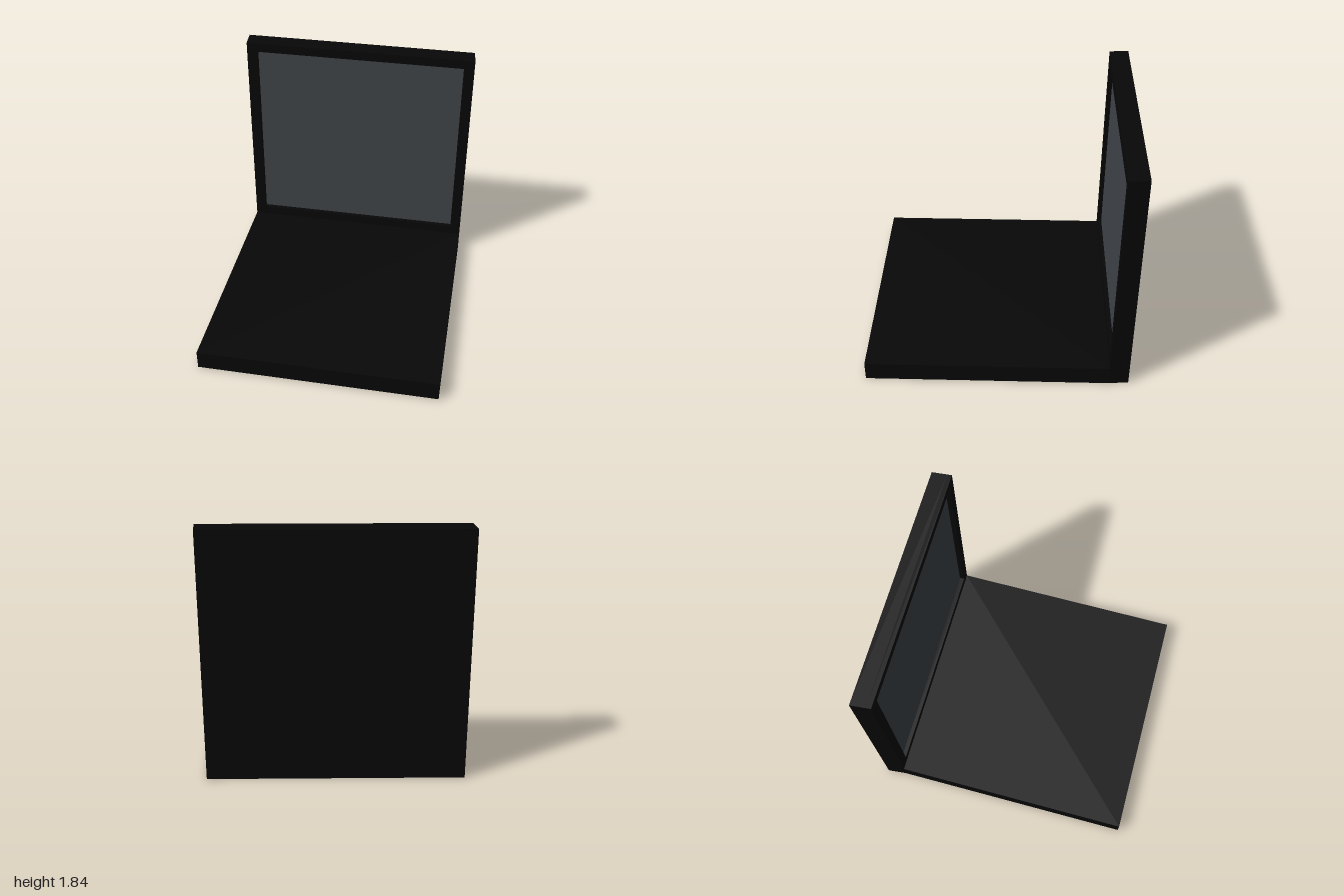
import * as THREE from 'three';

// Outline of a rectangle, usable as a shape or a hole
function rectangle(x0, x1, y0, y1) {
  return [[x0, y0], [x1, y0], [x1, y1], [x0, y1]].map(([x, y]) => new THREE.Vector2(x, y));
}

// Places lid parts: x slants towards the back, z is skewed across the width
const lidSkew = new THREE.Matrix4().set(
  1, 0, 0.1, 0,
  0, 1, 0, 0,
  -0.0065, 0, 1, -0.845,
  0, 0, 0, 1,
);

// Slab of the lid between depths z0 and z1 (0 is the lid's front)
function lidPart(name, shape, z0, z1, material) {
  const geometry = new THREE.ExtrudeGeometry(shape, { depth: z1 - z0, bevelEnabled: false });
  geometry.translate(0, 0, z0);
  geometry.applyMatrix4(lidSkew);
  const mesh = new THREE.Mesh(geometry, material);
  mesh.name = name;
  return mesh;
}

export function createModel() {
  const black = new THREE.MeshStandardMaterial({ color: 0x070707 });
  black.name = 'black casing';
  const grey = new THREE.MeshStandardMaterial({ color: 0x40454a });
  grey.name = 'grey screen';

  const group = new THREE.Group();
  group.name = 'laptop';

  // Flat base with a slightly skewed footprint of [x, z] corners
  const footprint = [[-0.905, 1], [0.935, 0.985], [0.92, -0.851], [-0.92, -0.839]];
  const baseShape = new THREE.Shape(footprint.map(([x, z]) => new THREE.Vector2(x, -z)));
  const baseGeometry = new THREE.ExtrudeGeometry(baseShape, { depth: 0.15, bevelEnabled: false });
  baseGeometry.rotateX(-Math.PI / 2);
  const base = new THREE.Mesh(baseGeometry, black);
  base.name = 'base';
  group.add(base);

  // Upright lid: back panel and a raised bezel around the recessed screen
  const recess = -0.035;
  const outline = rectangle(-0.92, 0.92, 0, 1.84);
  group.add(lidPart('lidPanel', new THREE.Shape(outline), -0.149, recess, black));

  const bezel = new THREE.Shape(outline);
  bezel.holes.push(new THREE.Path(rectangle(-0.835, 0.85, 0.227, 1.767)));
  group.add(lidPart('bezel', bezel, recess, 0, black));

  // Thin screen plate at the bottom of the recess
  const screen = new THREE.Shape(rectangle(-0.832, 0.838, 0.227, 1.767));
  group.add(lidPart('screen', screen, recess, recess + 0.003, grey));

  return group;
}
